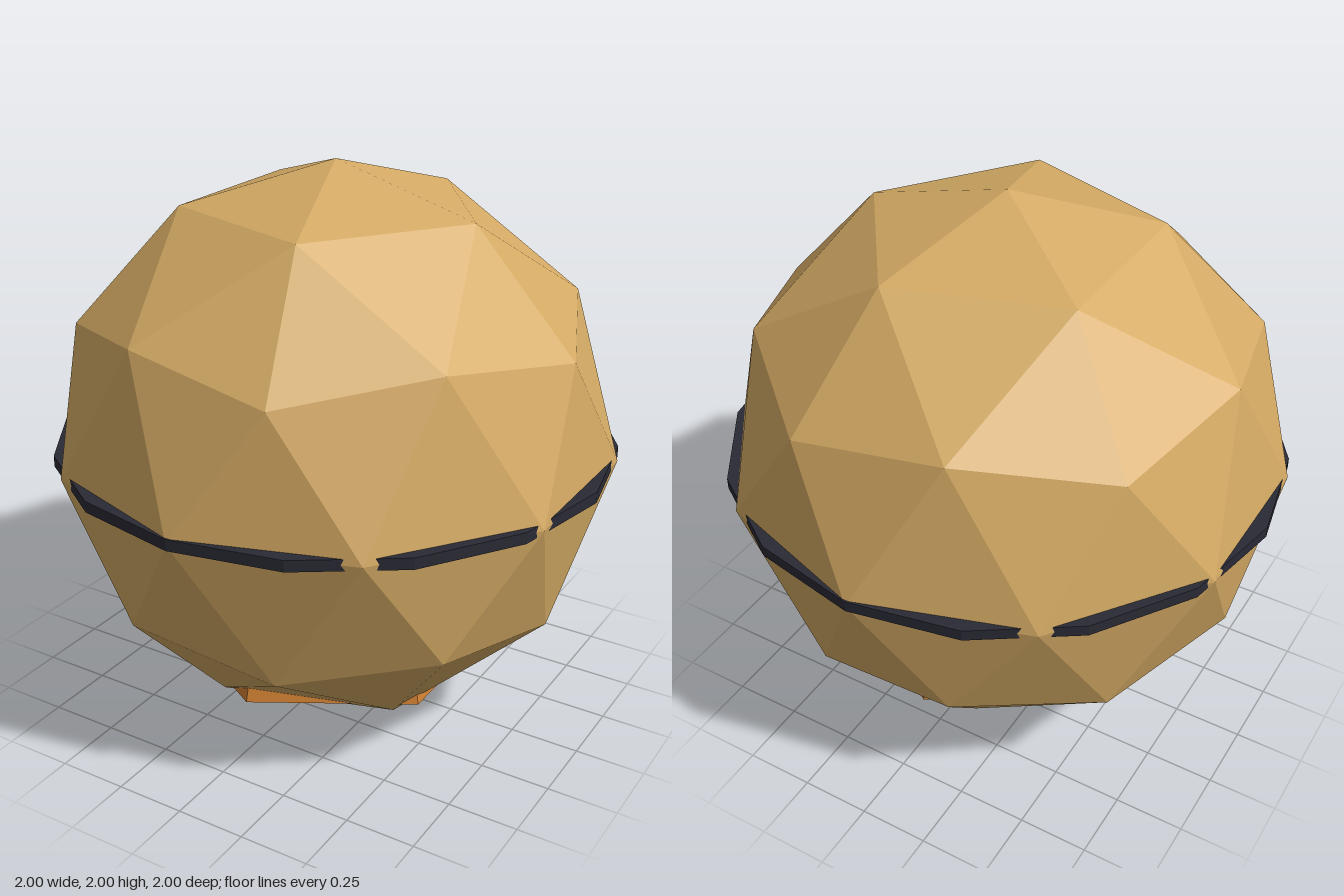
import * as THREE from 'three';

function material(name, color) {
  const m = new THREE.MeshStandardMaterial({ color, flatShading: true });
  m.name = name;
  return m;
}

export function createModel() {
  const group = new THREE.Group();
  const tan = material('tan', 0xd4aa64);
  const charcoal = material('charcoal', 0x2a2a35);
  const bronze = material('bronze', 0xcd7f32);

  function add(name, geometry, mat, y) {
    const mesh = new THREE.Mesh(geometry, mat);
    mesh.name = name;
    mesh.position.y = y;
    group.add(mesh);
  }

  // Faceted ball, tipped so a five-sided corner sits at the top
  const ball = new THREE.IcosahedronGeometry(1, 1);
  ball.rotateZ(-Math.atan(2 / (1 + Math.sqrt(5))));
  add('ball', ball, tan, 1);

  // Thin sixteen-sided belt, which the ball's corners poke through
  add('belt', new THREE.CylinderGeometry(1, 1, 0.04, 16), charcoal, 1);

  // Tapered six-sided base, mostly sunk into the ball
  add('base', new THREE.CylinderGeometry(0.5, 0.6, 0.4, 6), bronze, 0.4);

  return group;
}
